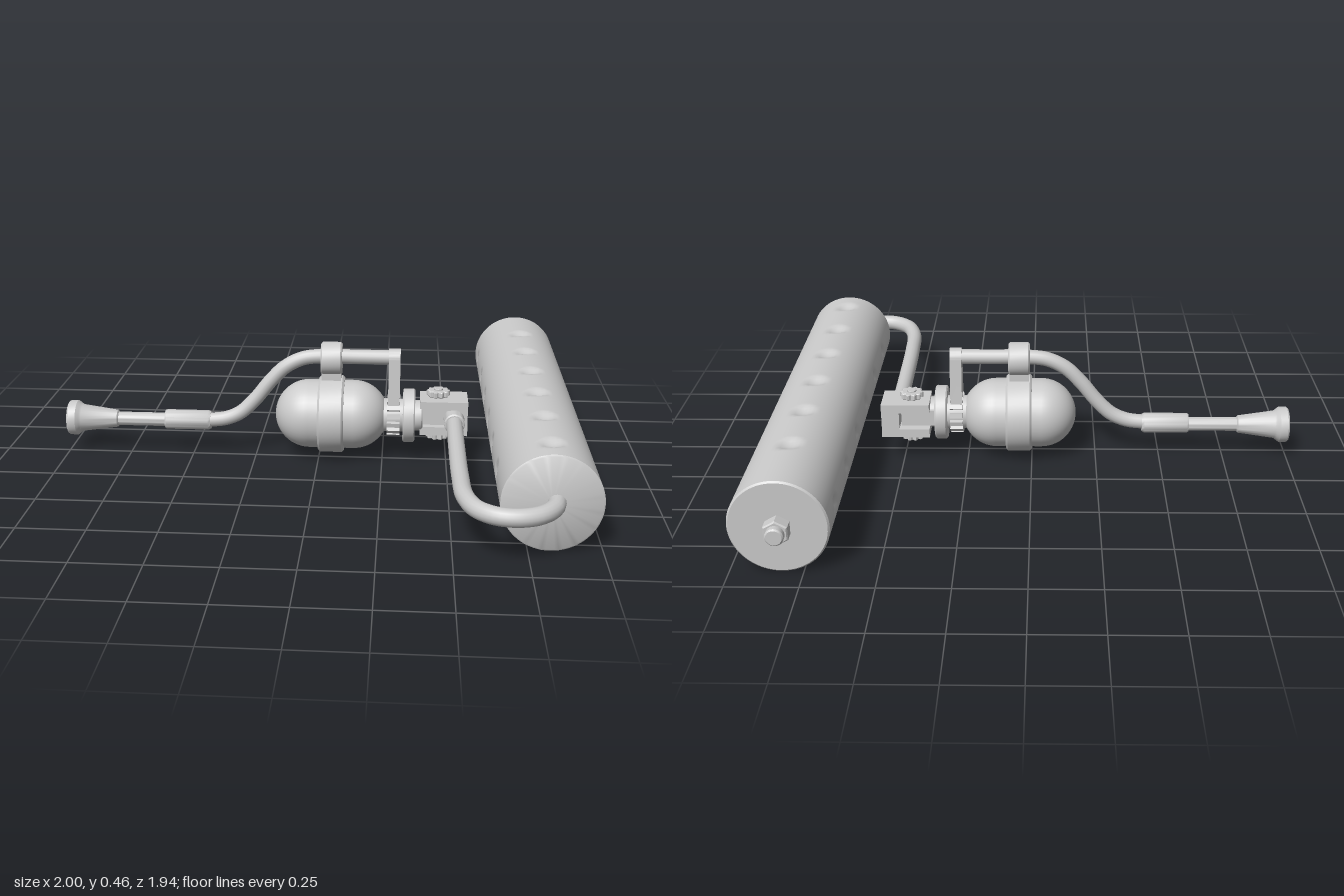
import * as THREE from 'three';
import { mergeVertices, toCreasedNormals } from 'three/addons/utils/BufferGeometryUtils.js';

const AXIS_Y = 0.175, AXIS_Z = -0.022;

export function createModel() {
  const model = new THREE.Group();
  const mat = new THREE.MeshStandardMaterial({ color: 0xcccccc });

  const add = (name, geo, x = 0, y = 0, z = 0, parent = model) => {
    const mesh = new THREE.Mesh(geo, mat);
    mesh.name = name;
    mesh.position.set(x, y, z);
    parent.add(mesh);
    return mesh;
  };
  // Solid of revolution: [radius, position] pairs running along x, y or z
  const turned = (profile, axis, sides = 32) => {
    const geo = new THREE.LatheGeometry(profile.map(([r, t]) => new THREE.Vector2(r, t)), sides);
    if (axis === 'x') geo.rotateZ(-Math.PI / 2);
    if (axis === 'z') geo.rotateX(Math.PI / 2);
    return toCreasedNormals(geo, 0.6);
  };
  const disc = (r, a, b, axis, sides = 32, bevel = 0.005) => turned(
    [[0, a], [r - bevel, a], [r, a + bevel], [r, b - bevel], [r - bevel, b], [0, b]], axis, sides);
  const tube = (points, r, segments) => new THREE.TubeGeometry(
    new THREE.CatmullRomCurve3(points.map(p => new THREE.Vector3(...p))), segments, r, 16);

  // Roller sleeve, with staggered rows of shallow dimples
  const R = 0.171, roller = new THREE.Group();
  roller.name = 'roller';
  roller.position.set(0.824, 0.173, 0);
  model.add(roller);
  const zStart = -0.9, zEnd = 0.8;
  let sleeve = new THREE.CylinderGeometry(R, R, zEnd - zStart, 72, 136, true);
  sleeve.rotateX(Math.PI / 2).translate(0, 0, (zStart + zEnd) / 2);
  sleeve.deleteAttribute('uv');
  sleeve.deleteAttribute('normal');
  sleeve = mergeVertices(sleeve, 1e-5);
  const pos = sleeve.attributes.position;
  for (let i = 0; i < pos.count; i++) {
    const x = pos.getX(i), y = pos.getY(i), z = pos.getZ(i);
    const angle = Math.atan2(y, x);
    let dent = 0;
    for (let row = 0; row < 4; row++) {
      const d = angle - row * Math.PI / 2;
      const arc = R * Math.atan2(Math.sin(d), Math.cos(d));
      for (let k = 0; k < 6; k++) {
        const dz = z - ((row % 2 ? -0.63 : -0.757) + k * 0.263);
        const q = Math.hypot(arc, dz) / 0.045;
        if (q < 1) dent = 0.018 * (1 - q * q);
      }
    }
    const s = 1 - dent / R;
    pos.setXYZ(i, x * s, y * s, z);
  }
  sleeve.computeVertexNormals();
  add('rollerSleeve', sleeve, 0, 0, 0, roller);
  add('frontCap', turned([[R, zEnd], [R - 0.006, zEnd + 0.004], [0, zEnd + 0.004]], 'z', 72), 0, 0, 0, roller);
  add('backCap', turned([[0, zStart - 0.006], [R - 0.006, zStart - 0.006], [R, zStart]], 'z', 72), 0, 0, 0, roller);
  add('axleNut', disc(0.047, -0.95, -0.9, 'z', 6), 0, 0, 0, roller);
  add('axleEnd', disc(0.032, -0.975, -0.94, 'z', 16), 0, 0, 0, roller);

  // Bent frame carrying the roller
  add('rollerFrame', tube([
    [0.527, AXIS_Y, 0], [0.527, AXIS_Y, 0.3], [0.53, AXIS_Y, 0.6], [0.54, AXIS_Y, 0.77],
    [0.575, AXIS_Y, 0.87], [0.635, AXIS_Y, 0.92], [0.705, AXIS_Y, 0.93],
    [0.775, AXIS_Y, 0.905], [0.825, AXIS_Y, 0.845], [0.842, AXIS_Y, 0.78],
  ], 0.031, 72));
  add('frameCollar', disc(0.04, 0, 0.075, 'z', 24), 0.527, AXIS_Y, 0);

  // Forked hinge with a thumb knob above and below
  const hinge = new THREE.Group();
  hinge.name = 'hinge';
  hinge.position.set(0.465, 0.177, -0.048);
  model.add(hinge);
  for (const side of [-1, 1]) {
    add('forkPlate', new THREE.BoxGeometry(0.185, 0.034, 0.138), 0.022, side * 0.051, 0, hinge);
    const shape = new THREE.Shape();
    for (let i = 0; i < 60; i++) {
      const a = i / 60 * Math.PI * 2, r = 0.037 + 0.005 * Math.cos(a * 10);
      shape[i ? 'lineTo' : 'moveTo'](r * Math.cos(a), r * Math.sin(a));
    }
    const knob = new THREE.ExtrudeGeometry(shape, {
      depth: 0.018, bevelSize: 0.003, bevelThickness: 0.003, bevelSegments: 1,
    });
    knob.rotateX(-Math.PI / 2).translate(0, -0.009, 0);
    add('thumbKnob', knob, 0, side * 0.086, 0, hinge);
    add('knobBolt', disc(0.018, -0.006, 0.006, 'y', 12, 0.002), 0, side * 0.099, 0, hinge);
    add('knobShank', disc(0.026, -0.008, 0.008, 'y', 16, 0.002), 0, side * 0.071, 0, hinge);
  }
  add('forkRoot', new THREE.BoxGeometry(0.068, 0.07, 0.138), 0.08, 0, 0, hinge);
  add('hingeTongue', new THREE.BoxGeometry(0.14, 0.062, 0.09), -0.03, 0, 0.005, hinge);
  add('hingePin', disc(0.016, -0.08, 0.08, 'y', 12), 0, 0, 0, hinge);

  // Flange and ribbed neck joining the hinge to the tank
  add('flange', disc(0.105, 0.328, 0.375, 'x', 40), 0, AXIS_Y, AXIS_Z);
  add('flangeBoss', disc(0.06, 0.37, 0.405, 'x', 24), 0, AXIS_Y, AXIS_Z);
  add('neck', disc(0.065, 0.24, 0.335, 'x', 24), 0, AXIS_Y, AXIS_Z);
  for (let i = 0; i < 14; i++) {
    const a = i / 14 * Math.PI * 2;
    const rib = add('neckRib', new THREE.BoxGeometry(0.05, 0.022, 0.018),
      0.292, AXIS_Y + 0.068 * Math.cos(a), AXIS_Z + 0.068 * Math.sin(a));
    rib.rotation.x = a;
  }

  // Capsule tank and its band
  const tank = new THREE.CapsuleGeometry(0.134, 0.174, 14, 40);
  tank.rotateZ(Math.PI / 2);
  add('tank', tank, 0.05, AXIS_Y, AXIS_Z);
  add('tankBand', disc(0.151, 0, 0.1, 'x', 40, 0.008), 0, AXIS_Y, AXIS_Z);
  add('rodClamp', disc(0.064, 0.008, 0.09, 'x', 28, 0.006), 0, 0.402, AXIS_Z);
  add('clampFoot', new THREE.BoxGeometry(0.075, 0.07, 0.07), 0.049, 0.335, AXIS_Z);

  // Upright bracket with a round top, from the neck to the rod
  const plate = new THREE.Shape();
  plate.moveTo(-0.055, 0.14);
  plate.lineTo(0.055, 0.14);
  plate.lineTo(0.036, 0.408);
  plate.absarc(0, 0.408, 0.036, 0, Math.PI, false);
  plate.closePath();
  const upright = new THREE.ExtrudeGeometry(plate, { depth: 0.045, bevelEnabled: false, curveSegments: 16 });
  upright.rotateY(Math.PI / 2);
  add('uprightBracket', toCreasedNormals(upright, 0.6), 0.27, 0, AXIS_Z);

  // Swept rod and hand grip
  add('handleRod', tube([
    [0.29, 0.41], [0.15, 0.41], [0.02, 0.41], [-0.06, 0.4], [-0.13, 0.365], [-0.19, 0.305],
    [-0.25, 0.23], [-0.31, 0.172], [-0.37, 0.145], [-0.45, 0.135],
  ].map(([x, y]) => [x, y, AXIS_Z]), 0.028, 60));
  add('gripSleeve', turned([[0, -0.612], [0.036, -0.612], [0.039, -0.605],
    [0.039, -0.44], [0.034, -0.43], [0, -0.43]], 'x', 24), 0, 0.134, -0.026);
  add('gripEnd', turned([[0, -1], [0.064, -1], [0.069, -0.994], [0.069, -0.965], [0.06, -0.953],
    [0.054, -0.945], [0.034, -0.805], [0.027, -0.8], [0.027, -0.6], [0, -0.6]], 'x', 28), 0, 0.131, -0.028);

  return model;
}
